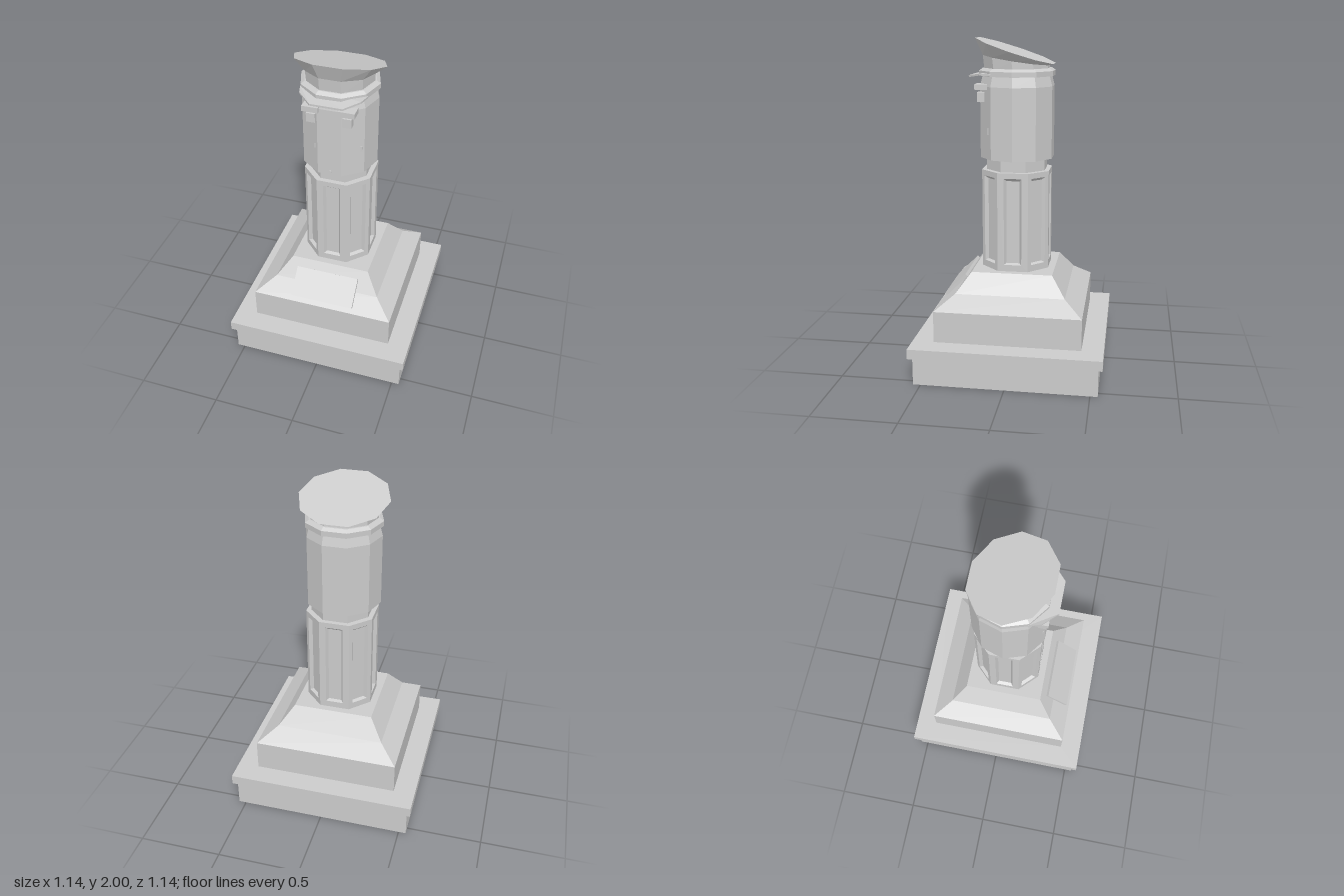
import * as THREE from 'three';

const V = (x, y, z) => new THREE.Vector3(x, y, z);
const grey = new THREE.MeshStandardMaterial({ color: 0xcccccc, flatShading: true, side: THREE.DoubleSide });

// Skin a list of equal-length loops, with optional end caps
function loft(rings, capStart = false, capEnd = true) {
  const pos = [];
  const tri = (...pts) => pts.forEach(p => pos.push(p.x, p.y, p.z));
  const n = rings[0].length;
  for (let r = 0; r < rings.length - 1; r++) {
    const a = rings[r], b = rings[r + 1];
    for (let i = 0; i < n; i++) {
      const j = (i + 1) % n;
      tri(a[i], a[j], b[j]);
      tri(a[i], b[j], b[i]);
    }
  }
  const first = rings[0], last = rings[rings.length - 1];
  for (let i = 1; i < n - 1; i++) {
    if (capStart) tri(first[0], first[i + 1], first[i]);
    if (capEnd) tri(last[0], last[i], last[i + 1]);
  }
  const g = new THREE.BufferGeometry();
  g.setAttribute('position', new THREE.Float32BufferAttribute(pos, 3));
  g.computeVertexNormals();
  return g;
}

// Regular polygon loop; height may vary with depth
function ring(n, radius, height, { turn = 0, cx = 0, cz = 0 } = {}) {
  return Array.from({ length: n }, (_, i) => {
    const a = turn + i / n * Math.PI * 2;
    const x = cx + radius * Math.cos(a), z = cz - radius * Math.sin(a);
    return V(x, typeof height === 'function' ? height(z) : height, z);
  });
}

// Octagon loop: w = half width, c = half length of the straight sides
const octagon = (w, c, y) =>
  [[w, c], [w, -c], [c, -w], [-c, -w], [-w, -c], [-w, c], [-c, w], [c, w]].map(([x, z]) => V(x, y, z));

export function createModel() {
  const model = new THREE.Group();
  const add = (name, geometry, parent = model) => {
    const m = new THREE.Mesh(geometry, grey);
    m.name = name;
    parent.add(m);
    return m;
  };
  const box = (name, w, h, d, x, y, z, parent) => {
    const m = add(name, new THREE.BoxGeometry(w, h, d), parent);
    m.position.set(x, y, z);
    return m;
  };

  // Stepped square pedestal, hollow and open underneath
  const steps = [[0.545, 0], [0.545, 0.17], [0.57, 0.17], [0.57, 0.23], [0.44, 0.23],
    [0.44, 0.42], [0.33, 0.5], [0.245, 0.615]];
  add('pedestal', loft(steps.map(([h, y]) => ring(4, h * Math.SQRT2, y, { turn: Math.PI / 4 }))));

  // Sloping plaque on the front
  const plaque = box('plaque', 0.395, 0.185, 0.018, -0.002, 0.51, 0.353);
  plaque.rotation.x = -Math.PI / 4;

  // Octagonal column with a recessed panel on each side
  const column = new THREE.Group();
  column.name = 'column';
  model.add(column);
  const W = 0.203, C = 0.092;
  const rect = (hw, y0, y1, z) => [V(-hw, y0, z), V(hw, y0, z), V(hw, y1, z), V(-hw, y1, z)];
  for (let i = 0; i < 8; i++) {
    const diagonal = i % 2 === 1;
    const d = diagonal ? (W + C) / Math.SQRT2 : W;
    const half = diagonal ? (W - C) / Math.SQRT2 : C;
    const face = add('columnPanel', loft([
      rect(half, 0.615, 1.22, d),
      rect(0.053, 0.655, 1.187, d),
      rect(0.04, 0.663, 1.17, d - 0.02),
    ]), column);
    face.rotation.y = i * Math.PI / 4;
  }
  add('neck', loft([octagon(W, C, 1.22), octagon(0.175, 0.075, 1.22), octagon(0.175, 0.075, 1.3)]), column);

  // Ten-sided head
  const head = new THREE.Group();
  head.name = 'head';
  model.add(head);
  const at = { cx: -0.007 };
  add('face', loft([[0.227, 1.29], [0.227, 1.72], [0.211, 1.78]].map(([r, y]) => ring(10, r, y, at)), true), head);
  for (const s of [-1, 1]) {
    const x = s * 0.105 - 0.007;
    box('eyebrow', 0.095, 0.033, 0.075, x, 1.718, 0.197, head);
    box('eye', 0.052, 0.056, 0.045, x, 1.658, 0.2, head);
  }
  box('chip', 0.006, 0.025, 0.012, -0.095, 1.465, 0.201, head);
  box('chip', 0.012, 0.035, 0.006, 0.164, 1.46, 0.15, head);
  box('chip', 0.008, 0.012, 0.01, 0.0, 1.312, 0.217, head);

  // Hat band, crown flaring to a tilted top, and visor
  const hat = new THREE.Group();
  hat.name = 'hat';
  model.add(hat);
  add('hatBand', loft([ring(10, 0.232, 1.78, at), ring(10, 0.232, 1.81, at),
    ring(10, 0.21, 1.825, at)], true), hat);
  add('crown', loft([
    ring(10, 0.2, 1.815, at),
    ring(10, 0.203, z => 1.87 + 0.15 * z, { cx: -0.007, cz: 0.006 }),
    ring(10, 0.267, z => 1.922 + 0.325 * z, { cx: -0.006, cz: 0.0 }).map(p =>
      V(p.x, p.y, p.z * 0.91 + 0.01)).map(p => V(p.x, 1.922 + 0.325 * p.z, p.z)),
  ]), hat);
  const visorLoop = lift => [[-0.2, 1.785, 0.13], [-0.18, 1.787, 0.2], [-0.098, 1.772, 0.278],
    [0.09, 1.772, 0.278], [0.172, 1.787, 0.2], [0.19, 1.785, 0.13]].map(([x, y, z]) => V(x, y + lift, z));
  add('visor', loft([visorLoop(0), visorLoop(0.011)], true), hat);

  return model;
}
